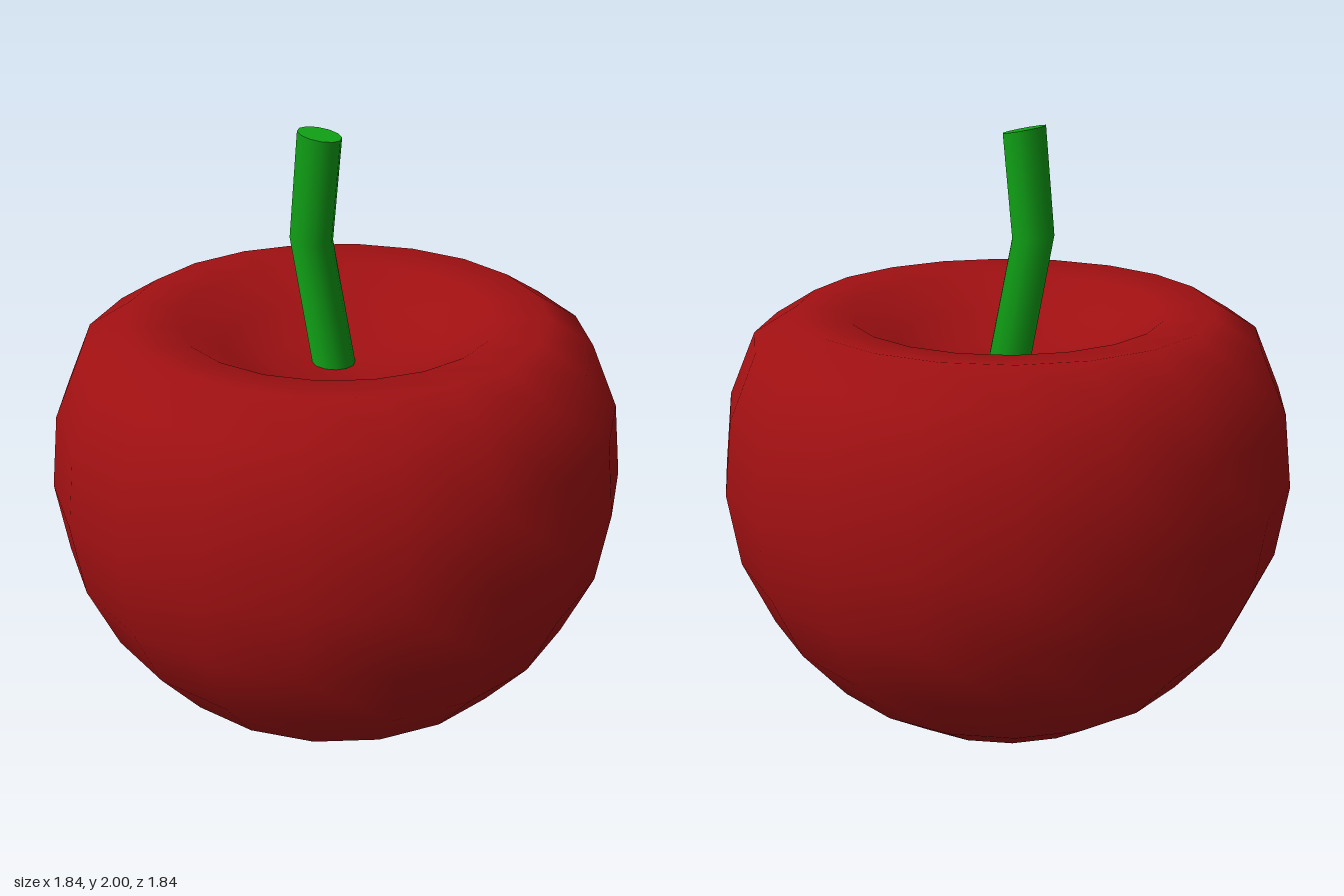
import * as THREE from 'three';

export function createModel() {
  const model = new THREE.Group();
  const red = new THREE.MeshStandardMaterial({ color: 0xa01012 });
  red.name = 'apple red';
  const green = new THREE.MeshStandardMaterial({ color: 0x10a016 });
  green.name = 'stem green';

  // Fruit body: round below, flattened rim and a shallow bowl on top
  const R = 0.92;
  const profile = [];
  for (let i = 0; i <= 7; i++) {
    const a = -Math.PI / 2 + (i * Math.PI) / 12;
    profile.push(new THREE.Vector2(i ? R * Math.cos(a) : 0, R + R * Math.sin(a)));
  }
  [[0.8, 1.36], [0.66, 1.445], [0.5, 1.425], [0.35, 1.34], [0.19, 1.28], [0, 1.26]]
    .forEach(([r, y]) => profile.push(new THREE.Vector2(r, y)));
  const body = new THREE.Mesh(new THREE.LatheGeometry(profile, 20), red);
  body.name = 'fruitBody';
  model.add(body);

  // Bent stem: three rings of a cylinder shifted along a kinked path
  const rings = [
    { x: -0.055, y: 1.987, tilt: -0.19 },
    { x: -0.085, y: 1.665, tilt: -0.1 },
    { x: -0.005, y: 1.24, tilt: 0.19 },
  ];
  const stemGeo = new THREE.CylinderGeometry(0.067, 0.067, 2, 12, 2);
  const p = stemGeo.attributes.position;
  for (let i = 0; i < p.count; i++) {
    const ring = rings[Math.round(1 - p.getY(i))];
    const dx = p.getX(i);
    p.setXY(i, ring.x + dx, ring.y + ring.tilt * dx);
  }
  const stem = new THREE.Mesh(stemGeo, green);
  stem.name = 'stem';
  model.add(stem);

  return model;
}
